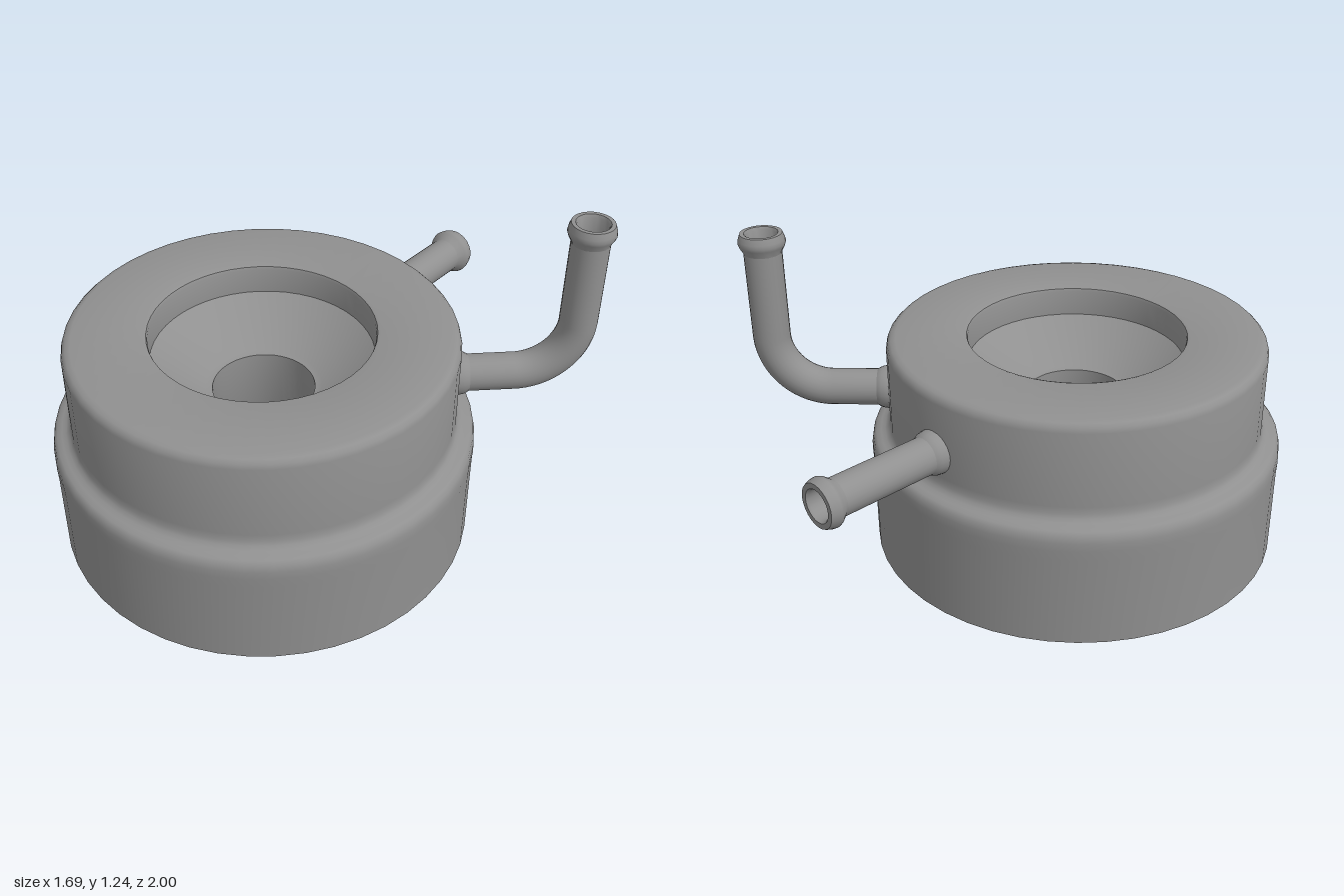
import * as THREE from 'three';
import { toCreasedNormals } from 'three/addons/utils/BufferGeometryUtils.js';

const metal = new THREE.MeshStandardMaterial({ color: 0x909090 });
metal.name = 'castGrey';

function add(parent, name, geometry) {
  const mesh = new THREE.Mesh(geometry, metal);
  mesh.name = name;
  parent.add(mesh);
  return mesh;
}

function lathe(points, segments) {
  const geo = new THREE.LatheGeometry(points.map(([r, y]) => new THREE.Vector2(r, y)), segments);
  return toCreasedNormals(geo, 0.8);
}

// Straight round bar between two points
function bar(a, b, radius) {
  const dir = b.clone().sub(a);
  const geo = new THREE.CylinderGeometry(radius, radius, dir.length(), 20);
  geo.applyQuaternion(new THREE.Quaternion().setFromUnitVectors(
    new THREE.Vector3(0, 1, 0), dir.normalize()));
  const mid = a.clone().add(b).multiplyScalar(0.5);
  return geo.translate(mid.x, mid.y, mid.z);
}

// Hose pipe along a path, with a flared root and a hollow beaded mouth
function pipe(name, path, beadRadius) {
  const group = new THREE.Group();
  group.name = name;
  add(group, name + 'Tube', new THREE.TubeGeometry(path, 48, 0.07, 24, false));
  const up = new THREE.Vector3(0, 1, 0);

  const bead = add(group, name + 'Mouth', lathe([
    [0.069, -0.08], [0.071, -0.07], [beadRadius - 0.004, -0.048], [beadRadius, -0.036],
    [beadRadius - 0.002, -0.022], [beadRadius - 0.01, 0], [0.062, 0],
    [0.056, -0.01], [0.056, -0.12], [0, -0.12],
  ], 24));
  bead.position.copy(path.getPoint(1));
  bead.quaternion.setFromUnitVectors(up, path.getTangent(1));

  const root = add(group, name + 'Root', lathe([
    [0.083, -0.08], [0.083, 0.005], [0.08, 0.025], [0.074, 0.038], [0.069, 0.045],
  ], 24));
  root.position.copy(path.getPoint(0)).addScaledVector(path.getTangent(0), 0.07);
  root.quaternion.setFromUnitVectors(up, path.getTangent(0));
  return group;
}

export function createModel() {
  const model = new THREE.Group();
  const core = new THREE.Group();
  core.name = 'housing';
  core.position.set(-0.055, 0, 0.209);
  model.add(core);

  // Stepped round housing: base, rounded shoulder, drum, dished mouth, hub and hollow underside
  add(core, 'body', lathe([
    [0.52, 0], [0.715, 0], [0.725, 0.01], [0.785, 0.01], [0.786, 0.36],
    [0.788, 0.4], [0.787, 0.43], [0.782, 0.455], [0.77, 0.468], [0.752, 0.474],
    [0.736, 0.48], [0.724, 0.49], [0.717, 0.505], [0.715, 0.53], [0.715, 0.815],
    [0.71, 0.833], [0.698, 0.845], [0.68, 0.85],
    [0.425, 0.85], [0.414, 0.846], [0.41, 0.835], [0.41, 0.735],
    [0.215, 0.595], [0.19, 0.59], [0.19, 0.065], [0.2, 0.055],
    [0.215, 0.055], [0.225, 0.065], [0.225, 0.53], [0.45, 0.65],
    [0.52, 0.55], [0.52, 0],
  ], 48));

  // Seven rounded spokes joining the hub to the bottom ring
  for (let i = 0; i < 7; i++) {
    const a = THREE.MathUtils.degToRad(40 + i * 360 / 7);
    const at = (r, y) => new THREE.Vector3(Math.sin(a) * r, y, -Math.cos(a) * r);
    add(core, 'spoke' + (i + 1), bar(at(0.215, 0.135), at(0.56, 0.08), 0.072));
  }

  // Straight rear pipe
  core.add(pipe('rearPipe', new THREE.LineCurve3(
    new THREE.Vector3(0, 0.62, -0.645), new THREE.Vector3(0, 0.62, -1.209)), 0.092));

  // Elbow pipe leaving diagonally and turning upward
  const s = Math.SQRT1_2;
  const p = (r, y) => new THREE.Vector3(r * s, y, -r * s);
  const elbow = new THREE.CurvePath();
  const k = 0.22 * 0.4477;
  elbow.add(new THREE.LineCurve3(p(0.645, 0.61), p(0.93, 0.61)));
  elbow.add(new THREE.CubicBezierCurve3(p(0.93, 0.61), p(1.15 - k, 0.61), p(1.15, 0.61 + k), p(1.15, 0.83)));
  elbow.add(new THREE.LineCurve3(p(1.15, 0.83), p(1.15, 1.235)));
  core.add(pipe('elbowPipe', elbow, 0.087));

  return model;
}
